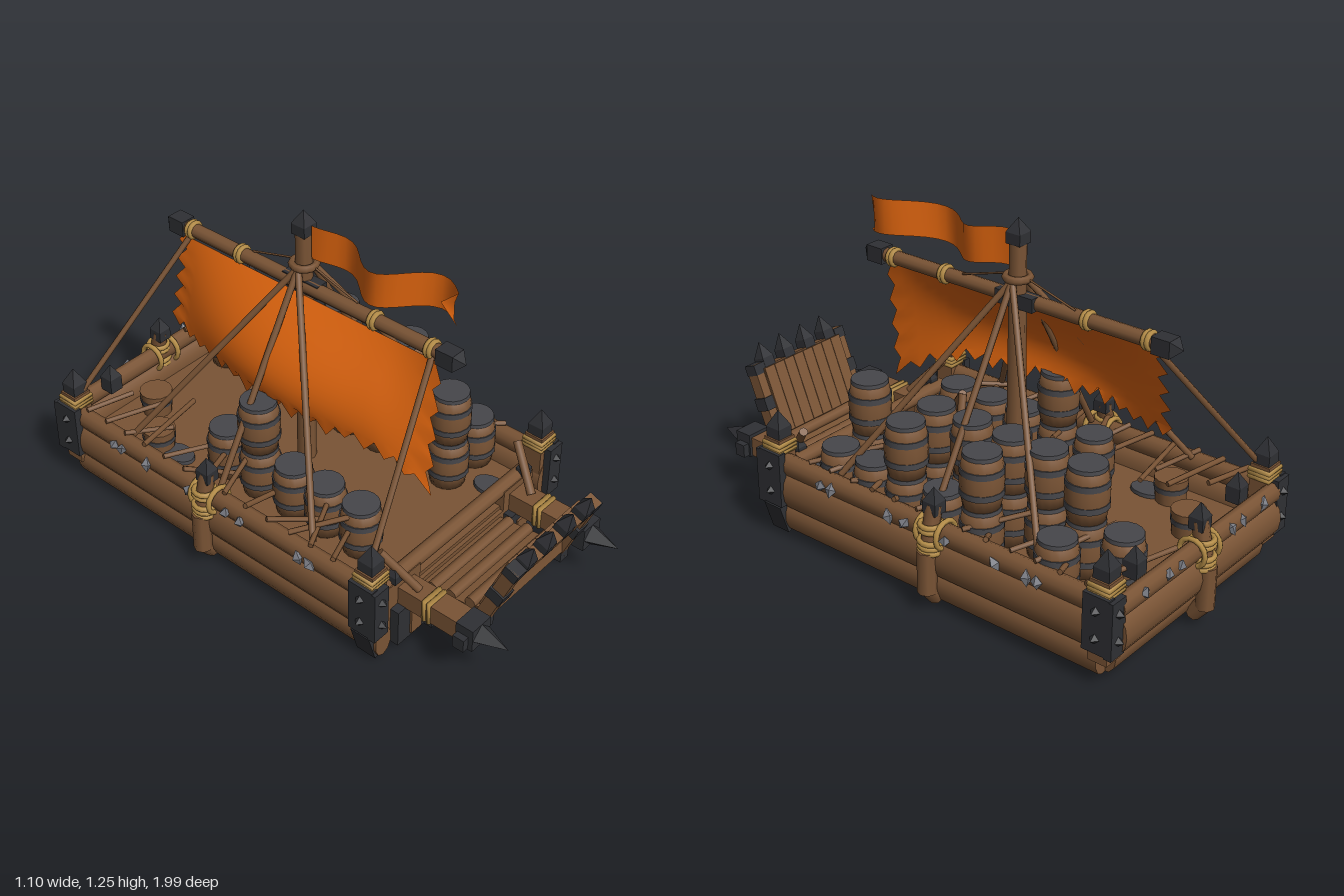
import * as THREE from 'three';

const mat = (name, color, extra = {}) => Object.assign(new THREE.MeshStandardMaterial({ color, ...extra }), { name });

export function createModel() {
  const wood = mat('wood', 0x7a5435);
  const plank = mat('plank wood', 0x7a5435, { side: THREE.DoubleSide });
  const iron = mat('black iron', 0x2f3034, { flatShading: true });
  const hoop = mat('grey hoop', 0x47474b);
  const steel = mat('steel spike', 0x7c7e86, { flatShading: true });
  const rope = mat('rope', 0xb58d47);
  const cloth = mat('orange cloth', 0xdb630e, { side: THREE.DoubleSide });

  const root = new THREE.Group();
  let seed = 7;
  const rand = (a, b) => {
    seed = (seed * 16807) % 2147483647;
    return a + (b - a) * seed / 2147483647;
  };
  const V = (x, y, z) => new THREE.Vector3(x, y, z);
  const add = (name, geo, m, x = 0, y = 0, z = 0, parent = root) => {
    const mesh = new THREE.Mesh(geo, m);
    mesh.name = name;
    mesh.position.set(x, y, z);
    parent.add(mesh);
    return mesh;
  };
  const box = (name, w, h, d, m, x, y, z, parent) => add(name, new THREE.BoxGeometry(w, h, d), m, x, y, z, parent);
  // round pole between two points
  const beam = (name, a, b, r, sides = 10, r2 = r) => {
    const d = b.clone().sub(a);
    const mid = a.clone().add(b).multiplyScalar(0.5);
    const mesh = add(name, new THREE.CylinderGeometry(r2, r, d.length(), sides), wood, mid.x, mid.y, mid.z);
    mesh.quaternion.setFromUnitVectors(V(0, 1, 0), d.normalize());
    return mesh;
  };
  // square post head with a pyramid point
  const pointedCap = (name, w, h, tip, x, y, z, parent) => {
    box(name, w, h, w, iron, x, y + h / 2, z, parent);
    const p = new THREE.ConeGeometry(w * 0.71, tip, 4).rotateY(Math.PI / 4);
    add(name + 'Point', p, iron, x, y + h + tip / 2, z, parent);
  };
  // coils of rope around an axis; four sides wrap a square post
  const coils = (name, r, n, x, y, z, axis = 'y', step = 0.018, sides = 14) => {
    for (let i = 0; i < n; i++) {
      const o = (i - (n - 1) / 2) * step;
      const g = new THREE.TorusGeometry(r, 0.01, 6, sides);
      if (sides === 4) g.rotateZ(Math.PI / 4);
      if (axis === 'y') g.rotateX(Math.PI / 2);
      if (axis === 'x') g.rotateY(Math.PI / 2);
      add(name, g, rope, x + (axis === 'x' ? o : 0), y + (axis === 'y' ? o : 0), z + (axis === 'z' ? o : 0));
    }
  };

  // hull and deck, with flattened logs along the sides and stern
  box('hull', 0.9, 0.16, 1.44, wood, 0, 0.11, -0.16);
  box('deck', 0.9, 0.02, 1.45, wood, 0, 0.195, -0.18);
  for (const s of [-1, 1]) {
    beam('lowerSideLog', V(s * 0.455, 0.09, 0.585), V(s * 0.455, 0.09, -0.88), 0.062).scale.x = 0.65;
    beam('middleSideLog', V(s * 0.465, 0.2, 0.575), V(s * 0.465, 0.2, -0.94), 0.075, 12).scale.x = 0.6;
    beam('topRail', V(s * 0.468, 0.298, 0.57), V(s * 0.468, 0.298, -0.93), 0.043).scale.x = 0.75;
  }
  beam('lowerSternLog', V(-0.44, 0.09, -0.88), V(0.44, 0.09, -0.88), 0.062).scale.z = 0.65;
  beam('middleSternLog', V(-0.46, 0.2, -0.925), V(0.46, 0.2, -0.925), 0.075, 12).scale.z = 0.6;
  beam('sternRail', V(-0.46, 0.3, -0.93), V(0.46, 0.3, -0.93), 0.04).scale.z = 0.75;
  beam('bowRail', V(-0.4, 0.27, 0.53), V(0.4, 0.27, 0.53), 0.028);

  // iron-clad corner posts
  for (const s of [-1, 1]) for (const z of [0.535, -0.89]) {
    const e = z > 0 ? 1 : -1;
    box('cornerPost', 0.075, 0.3, 0.075, wood, s * 0.465, 0.25, z);
    box('cornerPlate', 0.03, 0.21, 0.1, iron, s * 0.505, 0.25, z);
    box('cornerPlate', 0.07, 0.21, 0.03, iron, s * 0.485, 0.245, z + e * 0.05);
    if (e > 0) box('cornerFoot', 0.03, 0.12, 0.08, iron, s * 0.487, 0.085, z).rotation.z = -s * 0.3;
    for (const y of [0.2, 0.3]) {
      add('cornerStud', new THREE.ConeGeometry(0.02, 0.025, 4).rotateZ(-s * Math.PI / 2), iron, s * 0.53, y, z);
      add('cornerStud', new THREE.ConeGeometry(0.02, 0.025, 4).rotateX(e * Math.PI / 2), iron, s * 0.485, y, z + e * 0.075);
    }
    coils('cornerLashing', 0.053, 3, s * 0.465, 0.365, z, 'y', 0.014, 4);
    pointedCap('cornerCap', 0.062, 0.055, 0.06, s * 0.465, 0.385, z);
  }

  // bent braces lashed round the sides and stern
  const brace = (dx, dz, x0, z0) => {
    const at = (o, y) => V(x0 + dx * o, y, z0 + dz * o);
    beam('braceFoot', at(-0.03, 0.04), at(0.02, 0.1), 0.03, 8);
    beam('braceMiddle', at(0.015, 0.08), at(0.015, 0.24), 0.034, 8);
    beam('braceTop', at(0.01, 0.22), at(-0.025, 0.4), 0.03, 8);
    const r = at(-0.008, 0);
    coils('braceLashing', 0.04, 3, r.x, 0.255, r.z);
    coils('braceLashing', 0.037, 2, r.x, 0.325, r.z);
    coils('railLashing', 0.05, 2, x0 - dx * 0.03, 0.298, z0 - dz * 0.02, dx ? 'z' : 'x', 0.09);
    const p = at(-0.025, 0);
    pointedCap('braceCap', 0.055, 0.045, 0.05, p.x, 0.37, p.z);
  };
  brace(1, 0, 0.5, -0.2);
  brace(-1, 0, -0.5, -0.2);
  brace(0, -1, 0, -0.95);

  // clustered spikes along the rails
  const spike = (name, x, y, z) => {
    const g = new THREE.OctahedronGeometry(0.026).scale(0.8, 1.15, 0.8);
    add(name, g, steel, x, y, z).rotation.set(rand(-0.7, 0.7), rand(0, 1.5), rand(-0.7, 0.7));
  };
  for (const s of [-1, 1]) {
    for (const z of [0.3, 0.25, -0.02, -0.09, -0.27, -0.48, -0.61, -0.65]) spike('railSpike', s * 0.505, 0.298, z);
    for (const x of [0.15, 0.22, 0.35]) spike('sternSpike', s * x, 0.31, -0.955);
    pointedCap('sternCap', 0.055, 0.06, 0.05, s * 0.3, 0.32, -0.88);
  }

  // barrels, some stacked two high
  const bodyGeo = new THREE.LatheGeometry([[0, 0], [0.064, 0], [0.073, 0.05], [0.077, 0.1], [0.073, 0.15], [0.064, 0.2], [0, 0.2]]
    .map(p => new THREE.Vector2(...p)), 16);
  const bandGeo = new THREE.CylinderGeometry(0.077, 0.077, 0.022, 16, 1);
  const lidGeo = new THREE.CylinderGeometry(0.066, 0.068, 0.014, 16);
  const barrel = (x, y, z) => {
    const g = new THREE.Group();
    g.name = 'barrel';
    g.position.set(x, y, z);
    add('barrelBody', bodyGeo, wood, 0, 0, 0, g);
    for (const h of [0.06, 0.14]) add('barrelHoop', bandGeo, hoop, 0, h, 0, g);
    add('barrelLid', lidGeo, hoop, 0, 0.196, 0, g);
    root.add(g);
  };
  const rows = [
    [0.23, [-0.79, -0.64, -0.48, -0.33, -0.16, 0, 0.15, 0.31], [-0.64, -0.48, -0.33, -0.16, 0, 0.31]],
    [0.385, [-0.64, -0.33, -0.16, 0, 0.15, 0.31], [-0.33, 0]],
    [-0.25, [-0.32, -0.16, 0, 0.15, 0.31], [-0.16]],
  ];
  for (const [x, low, high] of rows) {
    low.forEach(z => barrel(x, 0.205, z));
    high.forEach(z => barrel(x, 0.405, z));
  }
  // wooden tubs and loose lids
  for (const [x, z] of [[-0.18, -0.77], [-0.33, -0.6]]) {
    add('tub', new THREE.CylinderGeometry(0.062, 0.055, 0.1, 14), wood, x, 0.25, z);
    add('tubHoop', new THREE.CylinderGeometry(0.063, 0.061, 0.02, 14), hoop, x, 0.26, z);
  }
  for (const [x, z] of [[0.29, 0.46], [-0.32, -0.51]]) add('looseLid', lidGeo, hoop, x, 0.215, z).scale.x = 0.7;

  // loose stakes leaning on the rails
  for (const s of [-1, 1]) for (let i = 0; i < 13; i++) {
    const z = -0.82 + i * 0.1;
    beam('stake', V(s * 0.475, 0.35, z), V(s * rand(0.12, 0.32), rand(0.26, 0.4), z + rand(-0.18, 0.18)), 0.01, 6);
  }
  beam('leaningPole', V(0.06, 0.45, 0.1), V(0.15, 0.63, -0.05), 0.015, 8);
  beam('leaningPole', V(0.15, 0.63, -0.05), V(0.24, 0.42, -0.1), 0.015, 8);

  // mast and stays
  const mz = -0.165;
  beam('mast', V(0, 0.18, mz), V(0, 1.18, mz), 0.036, 8, 0.03);
  pointedCap('mastCap', 0.06, 0.04, 0.05, 0, 1.165, mz);
  add('mastCollar', new THREE.TorusGeometry(0.042, 0.014, 6, 14).rotateX(Math.PI / 2), wood, 0, 1.045, mz);
  for (const s of [-1, 1]) {
    for (const z of [0.26, -0.17, -0.61]) beam('stay', V(s * 0.03, 1.04, mz), V(s * 0.44, 0.33, z), 0.012, 8);
    beam('yardLine', V(0, 1.06, mz), V(0, 0.99, mz + s * 0.24), 0.004, 5);
  }

  // yard with iron ends
  beam('yard', V(-0.01, 0.965, 0.48), V(-0.01, 0.965, -0.76), 0.026);
  for (const [z, e] of [[0.47, 1], [-0.75, -1]]) {
    box('yardEnd', 0.06, 0.06, 0.07, iron, -0.01, 0.965, z);
    const tip = new THREE.ConeGeometry(0.042, 0.035, 4).rotateY(Math.PI / 4).rotateX(e * Math.PI / 2);
    add('yardEndPoint', tip, iron, -0.01, 0.965, z + e * 0.0525);
    beam('sheet', V(-0.02, 0.95, z - e * 0.06), V(-0.45, 0.4, e > 0 ? 0.52 : -0.87), 0.011, 6);
  }
  box('yardBlock', 0.05, 0.05, 0.16, iron, 0, 0.965, mz);
  for (const z of [0.4, 0.16, -0.45, -0.69]) coils('yardLashing', 0.027, 2, -0.01, 0.965, z, 'z', 0.014);

  // billowing sail with ragged edges
  const NU = 32, NV = 14;
  const sail = new THREE.PlaneGeometry(1, 1, NU, NV);
  const sp = sail.attributes.position;
  for (let i = 0; i < sp.count; i++) {
    const u = sp.getX(i) + 0.5, v = 0.5 - sp.getY(i);
    const iu = Math.round(u * NU), iv = Math.round(v * NV);
    const bottom = 0.575 - 0.12 * Math.max(0, 1 - u * 6) + 0.03 * u;
    const x = -0.03 - 0.07 * v - 0.14 * Math.sin(Math.PI * u) * Math.sin(Math.PI * v * 0.72);
    let y = 0.94 + (bottom - 0.94) * v;
    let z = 0.43 + 0.03 * v - (1.13 + 0.03 * v) * u;
    if (iv === NV) y += (iu % 2 ? 0.02 : -0.025) + rand(-0.015, 0.015);
    if (iu === 0) z += (iv % 3) * 0.015;
    if (iu === NU) z -= ((iv + 1) % 3) * 0.02;
    sp.setXYZ(i, x, y, z);
  }
  sail.computeVertexNormals();
  add('sail', sail, cloth);

  // swallow-tailed pennant
  const flag = new THREE.PlaneGeometry(1, 1, 20, 2);
  const fp = flag.attributes.position;
  for (let i = 0; i < fp.count; i++) {
    const u = fp.getX(i) + 0.5, t = fp.getY(i);
    const notch = u > 0.99 && t === 0 ? 0.07 : 0;
    const x = 0.06 * Math.sin(u * 9) * Math.min(1, u * 3);
    fp.setXYZ(i, x, 1.13 + 0.012 * Math.sin(u * 8 + 1.5) + t * 0.13, -0.13 + 0.6 * u - notch);
  }
  flag.computeVertexNormals();
  add('pennant', flag, cloth);

  // bow sill and the shelf above it
  const prof = new THREE.Shape([[0.54, 0.03], [0.6, 0.03], [0.61, 0.14], [0.78, 0.15], [0.8, 0.2], [0.54, 0.17]]
    .map(p => new THREE.Vector2(...p)));
  const shelf = new THREE.ExtrudeGeometry(prof, { depth: 0.44, bevelEnabled: false }).rotateY(-Math.PI / 2);
  add('bowShelf', shelf, wood, 0.22, 0, 0);
  beam('shelfLog', V(-0.215, 0.172, 0.79), V(0.215, 0.172, 0.79), 0.034, 12);
  for (const z of [0.6, 0.68, 0.76]) beam('shelfPlank', V(-0.22, 0.175 + (z - 0.6) * 0.2, z), V(0.22, 0.175 + (z - 0.6) * 0.2, z), 0.022, 8);

  for (const s of [-1, 1]) {
    beam('shelfRunner', V(s * 0.215, 0.03, 0.57), V(s * 0.215, 0.18, 0.83), 0.022, 8);
    box('runnerFoot', 0.04, 0.04, 0.05, iron, s * 0.212, 0.021, 0.59);
    box('runnerClip', 0.045, 0.05, 0.04, iron, s * 0.215, 0.17, 0.82);
    // side arms with spear points
    box('bowArm', 0.085, 0.075, 0.32, wood, s * 0.31, 0.21, 0.68);
    box('bowArmHead', 0.095, 0.09, 0.07, iron, s * 0.315, 0.215, 0.845);
    add('bowArmPoint', new THREE.ConeGeometry(0.045, 0.11, 4).rotateX(Math.PI / 2), iron, s * 0.315, 0.215, 0.935);
    box('bowArmBlock', 0.035, 0.05, 0.045, iron, s * 0.37, 0.2, 0.84);
    coils('bowArmLashing', 0.056, 2, s * 0.31, 0.21, 0.68, 'z', 0.02, 4);
    box('bowPlate', 0.15, 0.15, 0.04, iron, s * 0.315, 0.1, 0.575);
    box('bowPlateBoard', 0.055, 0.1, 0.008, wood, s * 0.3, 0.09, 0.599);
    box('bowWall', 0.17, 0.13, 0.04, wood, s * 0.32, 0.21, 0.54);
    pointedCap('bowPeg', 0.04, 0.03, 0.035, s * 0.36, 0.28, 0.55);
    beam('bowKnee', V(s * 0.315, 0.25, 0.62), V(s * 0.38, 0.39, 0.5), 0.016, 8);
  }

  // raised bow door leaning forward, with a hollowed front
  const door = new THREE.Group();
  door.name = 'bowDoor';
  door.position.set(0, 0.2, 0.82);
  door.rotation.x = 0.38;
  root.add(door);
  const face = new THREE.PlaneGeometry(0.42, 0.26, 1, 10);
  const dp = face.attributes.position;
  for (let i = 0; i < dp.count; i++) dp.setZ(i, 0.022 - 0.045 * Math.cos(dp.getY(i) * Math.PI / 0.26));
  face.computeVertexNormals();
  add('doorFace', face, plank, 0, 0.135, 0, door);
  for (let i = 0; i < 8; i++) box('doorPlank', 0.048, 0.29, 0.014, wood, -0.175 + i * 0.05, 0.115, -0.03, door);
  box('doorBacking', 0.4, 0.28, 0.004, wood, 0, 0.115, -0.029, door);
  box('doorTopRail', 0.42, 0.03, 0.05, wood, 0, 0.25, 0, door);
  for (const s of [-1, 1]) {
    box('doorPost', 0.04, 0.3, 0.05, wood, s * 0.215, 0.135, 0, door);
    box('doorClip', 0.06, 0.05, 0.06, iron, s * 0.212, 0.13, 0, door);
    box('doorClip', 0.05, 0.04, 0.055, iron, s * 0.213, 0.265, 0, door);
    for (const x of [0.055, 0.16]) pointedCap('doorSpike', 0.052, 0.045, 0.06, s * x, 0.25, 0, door);
  }
  return root;
}
